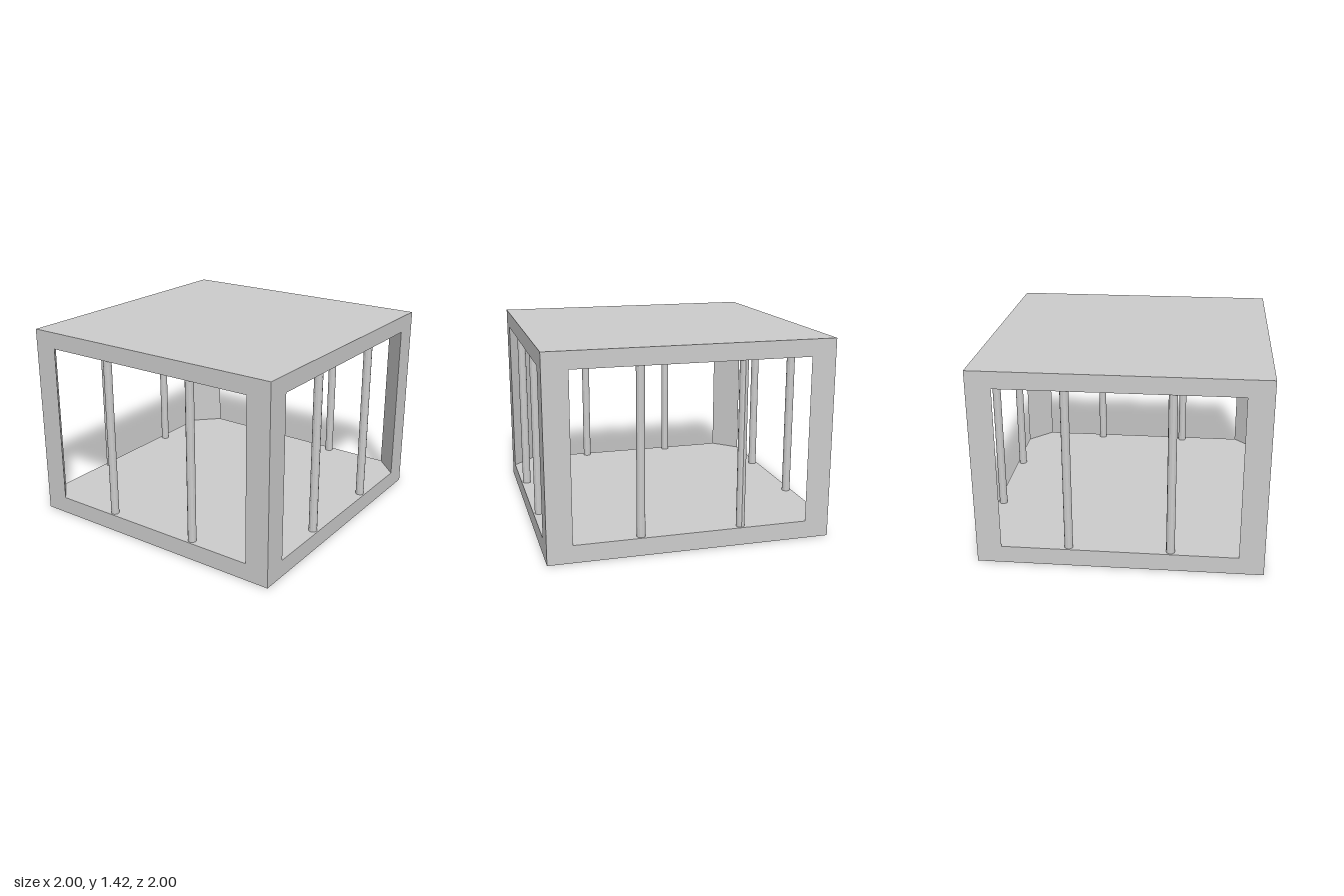
import * as THREE from 'three';

const HEIGHT = 1.42;
const FLOOR_TOP = 0.125;
const CEILING = 1.3;
const POST_WIDTH = 0.175;

export function createModel() {
  const model = new THREE.Group();
  const material = new THREE.MeshStandardMaterial({ color: 0xcccccc, flatShading: true });
  const add = (name, geometry, parent = model) => {
    const mesh = new THREE.Mesh(geometry, material);
    mesh.name = name;
    parent.add(mesh);
    return mesh;
  };

  // Floor and roof slabs
  add('floorSlab', new THREE.BoxGeometry(2, FLOOR_TOP, 2)).position.y = FLOOR_TOP / 2;
  add('roofSlab', new THREE.BoxGeometry(2, HEIGHT - CEILING, 2)).position.y = (HEIGHT + CEILING) / 2;

  // Triangular corner post, its diagonal face turned inwards
  const section = new THREE.Shape([
    new THREE.Vector2(0, 0),
    new THREE.Vector2(POST_WIDTH, 0),
    new THREE.Vector2(0, POST_WIDTH),
  ]);
  const span = CEILING - FLOOR_TOP;
  const postGeometry = new THREE.ExtrudeGeometry(section, { depth: span, bevelEnabled: false });
  postGeometry.rotateX(-Math.PI / 2).translate(-1, FLOOR_TOP, 1);

  // Slim round column
  const columnGeometry = new THREE.CylinderGeometry(0.03, 0.03, span, 12);

  // Each side has one corner post and two columns
  for (let i = 0; i < 4; i++) {
    const side = new THREE.Group();
    side.name = ['frontSide', 'leftSide', 'backSide', 'rightSide'][i];
    side.rotation.y = i * Math.PI / 2;
    add('cornerPost', postGeometry, side);
    for (const x of [-0.355, 0.355]) {
      add('column', columnGeometry, side).position.set(x, FLOOR_TOP + span / 2, 0.96);
    }
    model.add(side);
  }
  return model;
}
